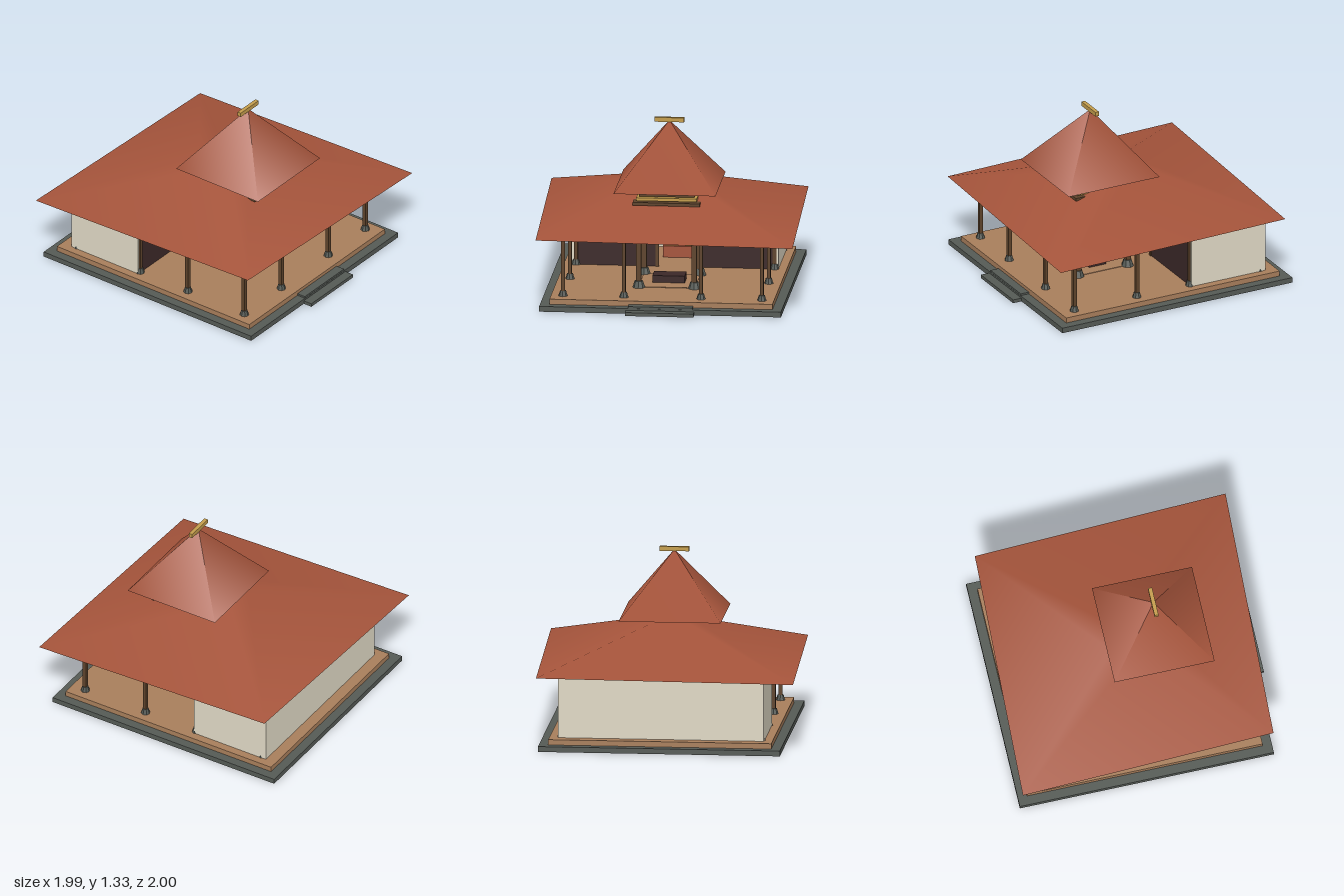
import * as THREE from 'three';

const material = (name, color) => {
  const m = new THREE.MeshStandardMaterial({ color });
  m.name = name;
  return m;
};

export function createModel() {
  const model = new THREE.Group();
  model.name = 'pavilion';

  const stone = material('stone', 0x555a55);
  const floorWood = material('floorWood', 0xa87e5b);
  const wood = material('wood', 0x5e432b);
  const darkWood = material('darkWood', 0x3b2828);
  const plaster = material('plaster', 0xe0d9c5);
  const tile = material('roofTile', 0xa5543b);
  const gold = material('gold', 0xc49d4c);

  const add = (name, geometry, mat, x = 0, y = 0, z = 0) => {
    const mesh = new THREE.Mesh(geometry, mat);
    mesh.name = name;
    mesh.position.set(x, y, z);
    model.add(mesh);
    return mesh;
  };
  // Box given by its extents on each axis
  const box = (name, mat, [x0, x1], [y0, y1], [z0, z1]) =>
    add(name, new THREE.BoxGeometry(x1 - x0, y1 - y0, z1 - z0), mat,
      (x0 + x1) / 2, (y0 + y1) / 2, (z0 + z1) / 2);

  // Stone plinth, steps and raised floor
  box('plinth', stone, [-0.9, 0.9], [0, 0.04], [-1, 0.93]);
  box('lowerStep', stone, [-0.255, 0.255], [0, 0.026], [0.8, 1]);
  box('upperStep', stone, [-0.24, 0.24], [0.01, 0.054], [0.84, 0.928]);
  box('floor', floorWood, [-0.83, 0.83], [0.04, 0.08], [-0.93, 0.86]);
  box('floorPanel', floorWood, [-0.21, 0.21], [0.08, 0.084], [0.01, 0.43]);

  // Posts on tapered stone footings
  const post = (x, z, w, footHeight, footRadius) => {
    const foot = new THREE.CylinderGeometry(footRadius * 0.66, footRadius, footHeight, 8).toNonIndexed();
    foot.computeVertexNormals();
    add('footing', foot, stone, x, 0.08 + footHeight / 2, z);
    box('post', wood, [x - w / 2, x + w / 2], [0.08 + footHeight, 0.545], [z - w / 2, z + w / 2]);
  };
  for (const s of [-1, 1]) {
    for (const z of [0.745, 0.22, -0.225, -0.8]) post(s * 0.74, z, 0.028, 0.04, 0.034);
    post(s * 0.287, 0.745, 0.028, 0.04, 0.034);
    for (const z of [0.43, 0.015]) post(s * 0.207, z, 0.038, 0.05, 0.047);
  }

  // Enclosed room at the back
  const wallY = [0.08, 0.545];
  for (const s of [-1, 1]) {
    const side = (a, b) => (s > 0 ? [a, b] : [-b, -a]);
    box('sideWall', plaster, side(0.745, 0.768), wallY, [-0.83, -0.222]);
    box('frontWall', darkWood, side(0.125, 0.748), wallY, [-0.24, -0.22]);
    box('doorFrame', wood, side(0.122, 0.145), [0.08, 0.455], [-0.235, -0.211]);
  }
  box('backWall', plaster, [-0.765, 0.765], wallY, [-0.845, -0.825]);
  box('doorLintel', gold, [-0.16, 0.16], [0.455, 0.54], [-0.24, -0.212]);

  // Low chest in the hall and daybed inside the room
  box('chest', darkWood, [-0.12, 0.12], [0.08, 0.136], [0.15, 0.29]);
  box('daybed', tile, [-0.12, 0.12], [0.08, 0.166], [-0.74, -0.5]);
  box('daybedCover', gold, [-0.11, 0.11], [0.166, 0.185], [-0.72, -0.52]);

  // Broad lower roof on a skewed square plan
  const lowerRoof = add('lowerRoof', new THREE.CylinderGeometry(0.125, 1, 0.286, 4), tile, -0.003, 0.683, -0.004);
  lowerRoof.scale.set(1.308, 1, 1.407);
  lowerRoof.rotation.y = Math.PI / 4;

  // Stepped collar of alternating beams
  [[0.25, 0.713, wood], [0.225, 0.743, gold], [0.206, 0.772, wood], [0.18, 0.8, gold]].forEach(([h, y, mat]) =>
    box('collarBeam', mat, [-h, h], [y, y + 0.023], [0.22 - h, 0.22 + h]));

  // Steep upper roof and ridge bar
  const upperRoof = add('upperRoof', new THREE.ConeGeometry(0.38 * Math.SQRT2, 0.48, 4), tile, 0, 1.069, 0.218);
  upperRoof.rotation.y = Math.PI / 4;
  box('ridgeBar', gold, [-0.11, 0.11], [1.297, 1.33], [0.203, 0.233]);

  return model;
}
